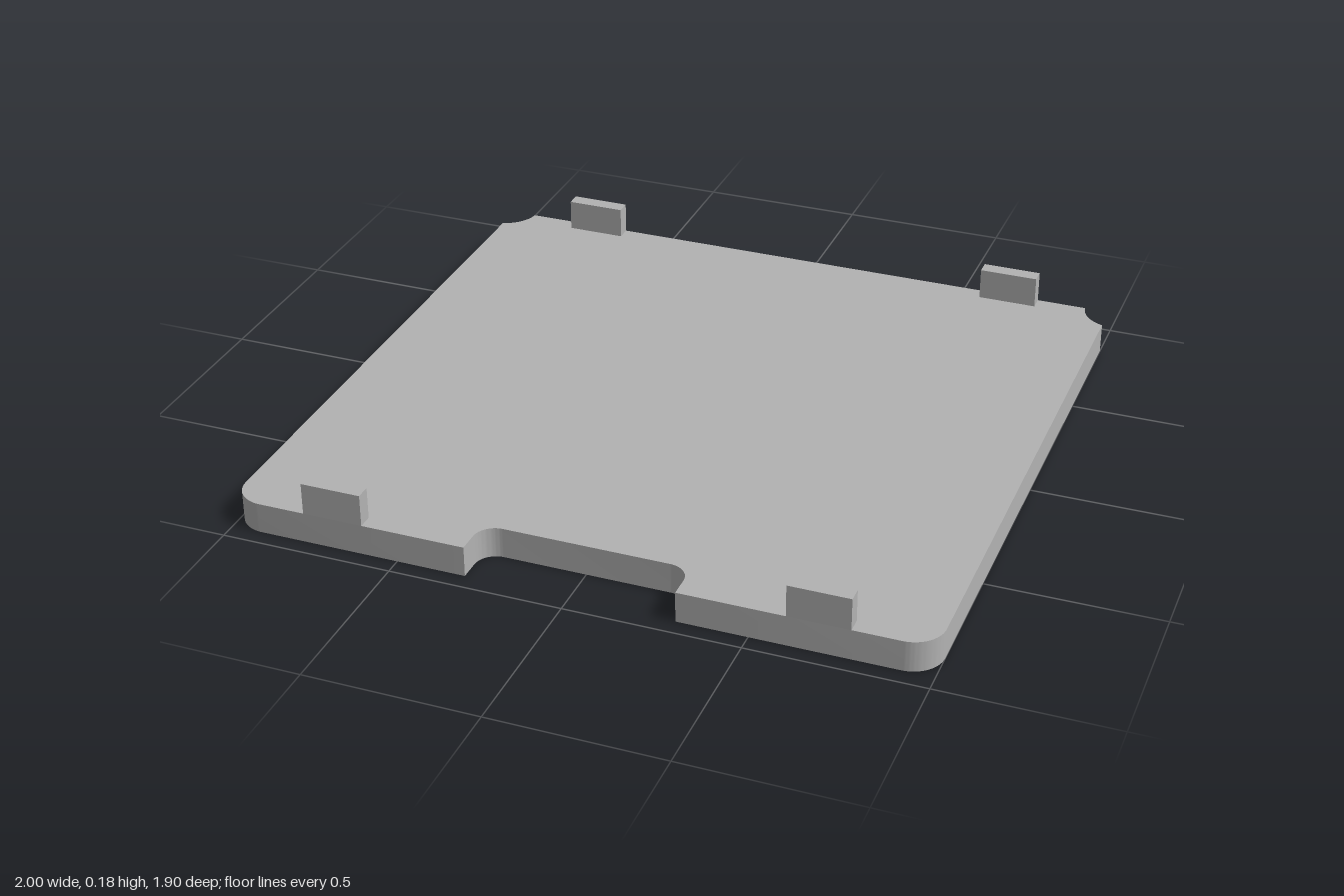
import * as THREE from 'three';
import { toCreasedNormals } from 'three/addons/utils/BufferGeometryUtils.js';

export function createModel() {
  const group = new THREE.Group();
  group.name = 'coverPlate';
  const grey = new THREE.MeshStandardMaterial({ color: 0xb2b2b2 });
  grey.name = 'grey';

  const W = 1, D = 0.95, H = 0.09; // half width, half depth, plate thickness
  const R = 0.09;                  // rounded front corners
  const N = 0.3, ND = 0.83, NR = 0.06; // finger notch: half width, inner edge, corner radius

  // Plate outline, drawn with the front edge at -D
  const s = new THREE.Shape();
  s.moveTo(-W + R, -D);
  s.lineTo(-N, -D);
  s.lineTo(-N, -ND - NR);
  s.absarc(-N + NR, -ND - NR, NR, Math.PI, Math.PI / 2, true);
  s.absarc(N - NR, -ND - NR, NR, Math.PI / 2, 0, true);
  s.lineTo(N, -D);
  s.lineTo(W - R, -D);
  s.absarc(W - R, -D + R, R, -Math.PI / 2, 0, false);

  // Scooped back corners: arcs about points just outside the plate
  const cx = 1.03, cy = 0.96, r = 0.105;
  const a0 = -Math.acos((W - cx) / r);
  const a1 = -Math.PI - Math.asin((D - cy) / r);
  s.absarc(cx, cy, r, a0, a1, true);
  s.absarc(-cx, cy, r, -Math.PI - a1, -Math.PI - a0, true);
  s.lineTo(-W, -D + R);
  s.absarc(-W + R, -D + R, R, Math.PI, Math.PI * 1.5, false);

  const plateGeo = new THREE.ExtrudeGeometry(s, { depth: H, bevelEnabled: false, curveSegments: 12 });
  plateGeo.rotateX(-Math.PI / 2);
  const plate = new THREE.Mesh(toCreasedNormals(plateGeo, Math.PI / 6), grey);
  plate.name = 'plate';
  group.add(plate);

  // Four upright tabs flush with the front and back edges
  const tabGeo = new THREE.BoxGeometry(0.175, 0.094, 0.044);
  for (const x of [-1, 1]) {
    for (const z of [-1, 1]) {
      const tab = new THREE.Mesh(tabGeo, grey);
      tab.name = (z > 0 ? 'front' : 'back') + (x > 0 ? 'Left' : 'Right') + 'Tab';
      tab.position.set(x * 0.6885, H + 0.047, z * (D - 0.022));
      group.add(tab);
    }
  }
  return group;
}
